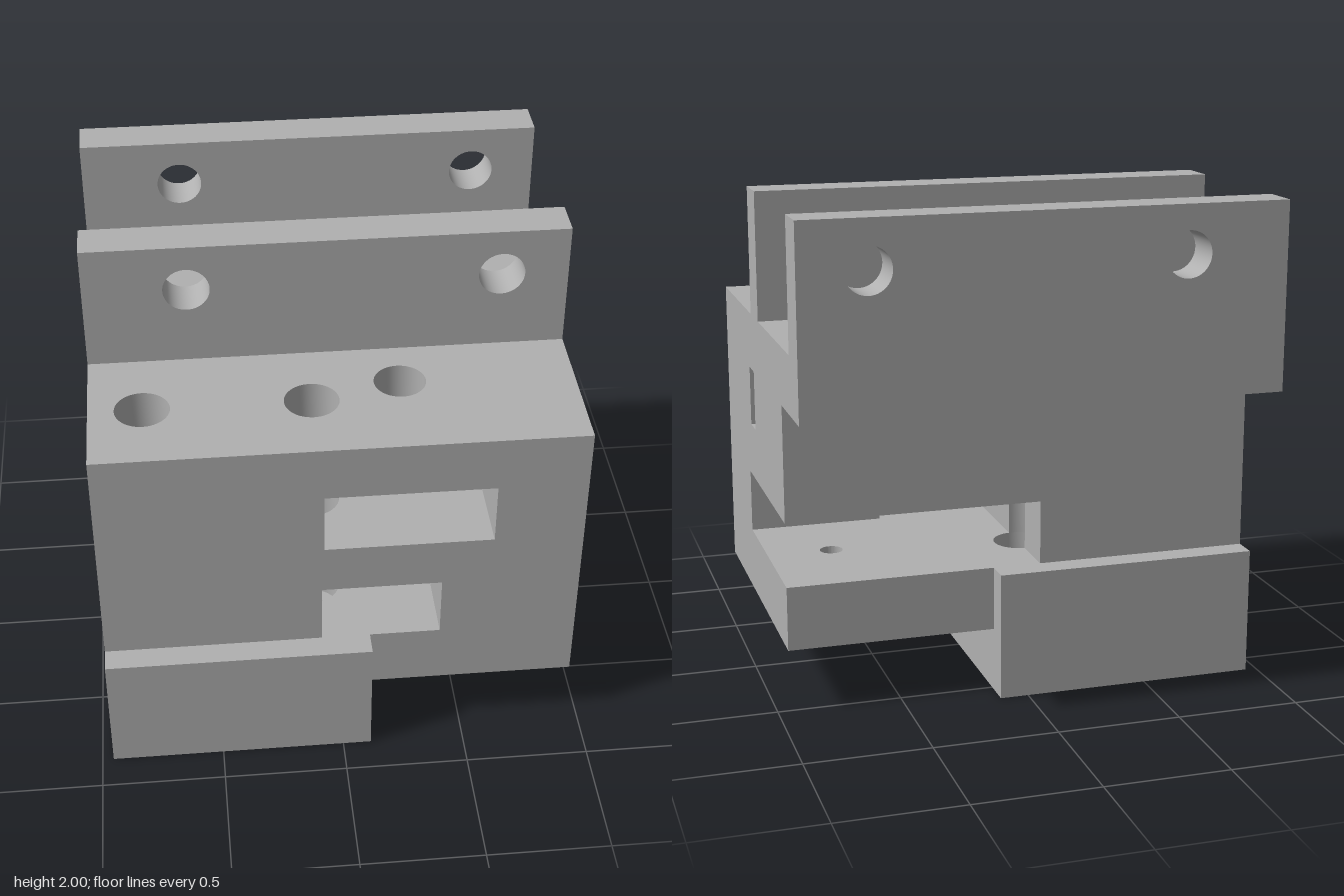
import * as THREE from 'three';
import { toCreasedNormals } from 'three/addons/utils/BufferGeometryUtils.js';

const W = 0.955;                 // half width
const BACK = -0.52, FRONT = 0.76; // body depth limits
const BORE = 0.108, SCREW = 0.057;

// Points on an arc in the x-z plane
function arc(cx, cz, r, a0, a1, n = 32) {
  return Array.from({ length: n + 1 }, (_, i) => {
    const a = a0 + (a1 - a0) * i / n;
    return [cx + r * Math.cos(a), cz + r * Math.sin(a)];
  });
}

const rect = (x0, x1, z0, z1) => [[x0, z0], [x1, z0], [x1, z1], [x0, z1]];

function extrude(points, holes, depth) {
  const shape = new THREE.Shape(points.map(([x, y]) => new THREE.Vector2(x, y)));
  for (const [x, y, r] of holes) {
    shape.holes.push(new THREE.Path().absarc(x, y, r, 0, Math.PI * 2, false));
  }
  return new THREE.ExtrudeGeometry(shape, { depth, bevelEnabled: false, curveSegments: 24 });
}

export function createModel() {
  const group = new THREE.Group();
  const grey = new THREE.MeshStandardMaterial({ color: 0xb0b0b0 });
  grey.name = 'grey';

  function add(name, geometry) {
    const mesh = new THREE.Mesh(toCreasedNormals(geometry, 0.6), grey);
    mesh.name = name;
    group.add(mesh);
  }

  // Horizontal slab from y0 to y1, outlined in x-z, with vertical round holes
  function slab(name, y0, y1, outline, holes = []) {
    const flip = ([x, z, r]) => [x, -z, r];
    const g = extrude(outline.map(flip), holes.map(flip), y1 - y0);
    add(name, g.rotateX(-Math.PI / 2).translate(0, y0, 0));
  }

  // Vertical hole positions
  const leftBolts = (r) => [[-0.745, -0.21, r], [-0.745, 0.44, r]];
  const midBolts = (r) => [[-0.09, -0.21, r], [-0.09, 0.44, r]];
  const bolts = (r) => [...leftBolts(r), ...midBolts(r)];
  const pivot = (r) => [0.265, 0.345, r];
  const sideScrew = (r) => [0.69, -0.11, r];

  // Foot and lower plate
  slab('foot', 0, 0.26, rect(-W, 0.115, -0.62, 0.86), bolts(SCREW));
  const plate = [[-W, -0.62], [0.115, -0.62], [0.115, BACK], [W, BACK],
    [W, FRONT], [0.115, FRONT], [0.115, 0.86], [-W, 0.86]];
  slab('lowerPlate', 0.26, 0.39, plate, [...bolts(SCREW), sideScrew(0.047)]);
  slab('lowerPlateTop', 0.39, 0.52, plate, [...bolts(BORE), pivot(0.05), sideScrew(0.047)]);

  // Level of the lower slot: bolt bores break through its wall
  const wall = -0.08;
  const b = Math.acos((wall + 0.09) / BORE);
  const bite = (z) => arc(-0.09, z, BORE, -b, b - Math.PI * 2);
  slab('slotWall', 0.52, 0.78,
    [[-W, BACK], [wall, BACK], ...bite(-0.21), ...bite(0.44), [wall, FRONT], [-W, FRONT]],
    leftBolts(BORE));
  slab('slotCorner', 0.52, 0.78, rect(0.4, W, 0.25, FRONT));

  // Solid layer between slot and pocket
  slab('middleLayer', 0.78, 0.99, rect(-W, W, BACK, FRONT),
    [...bolts(BORE), pivot(SCREW), sideScrew(0.055)]);

  // Level of the round-ended pocket, with a narrow side window
  const R = 0.335;
  const pocketArc = (a0, a1) => arc(0.265, 0.345, R, a0, a1);
  const end = -Math.PI + 0.033;
  const c = Math.acos(0.02 / BORE);
  const pocketLeft = [...arc(-0.09, 0.44, BORE, -c, c - Math.PI * 2), [-0.07, FRONT], [-W, FRONT]];
  const pocketHoles = [...leftBolts(BORE), midBolts(BORE)[0], sideScrew(0.055)];
  const closed = [[-W, BACK], [W, BACK], [W, FRONT], [0.6, FRONT], ...pocketArc(0, end), ...pocketLeft];
  slab('pocketFloorRim', 0.99, 1.0, closed, pocketHoles);
  slab('pocketWall', 1.0, 1.245,
    [[-W, BACK], [W, BACK], [W, 0.09], ...pocketArc(-Math.asin(0.255 / R), end), ...pocketLeft],
    pocketHoles);
  slab('pocketSide', 1.0, 1.245,
    [[W, 0.19], [W, FRONT], [0.6, FRONT], ...pocketArc(0, -Math.asin(0.155 / R))]);
  slab('pocketTopRim', 1.245, 1.25, closed, pocketHoles);

  // Deck reaching back under the rear flange
  slab('deck', 1.25, 1.48, rect(-W, W, -0.86, FRONT),
    [...bolts(BORE), pivot(0.103), sideScrew(0.107)]);

  // Upright flanges with cross holes
  for (const [name, z0, z1] of [['frontFlange', -0.045, 0.12], ['rearFlange', -0.86, -0.695]]) {
    const g = extrude(rect(-W, W, 1.48, 2), [[-0.55, 1.808, 0.092], [0.69, 1.808, 0.092]], z1 - z0);
    add(name, g.translate(0, 0, z0));
  }
  return group;
}
